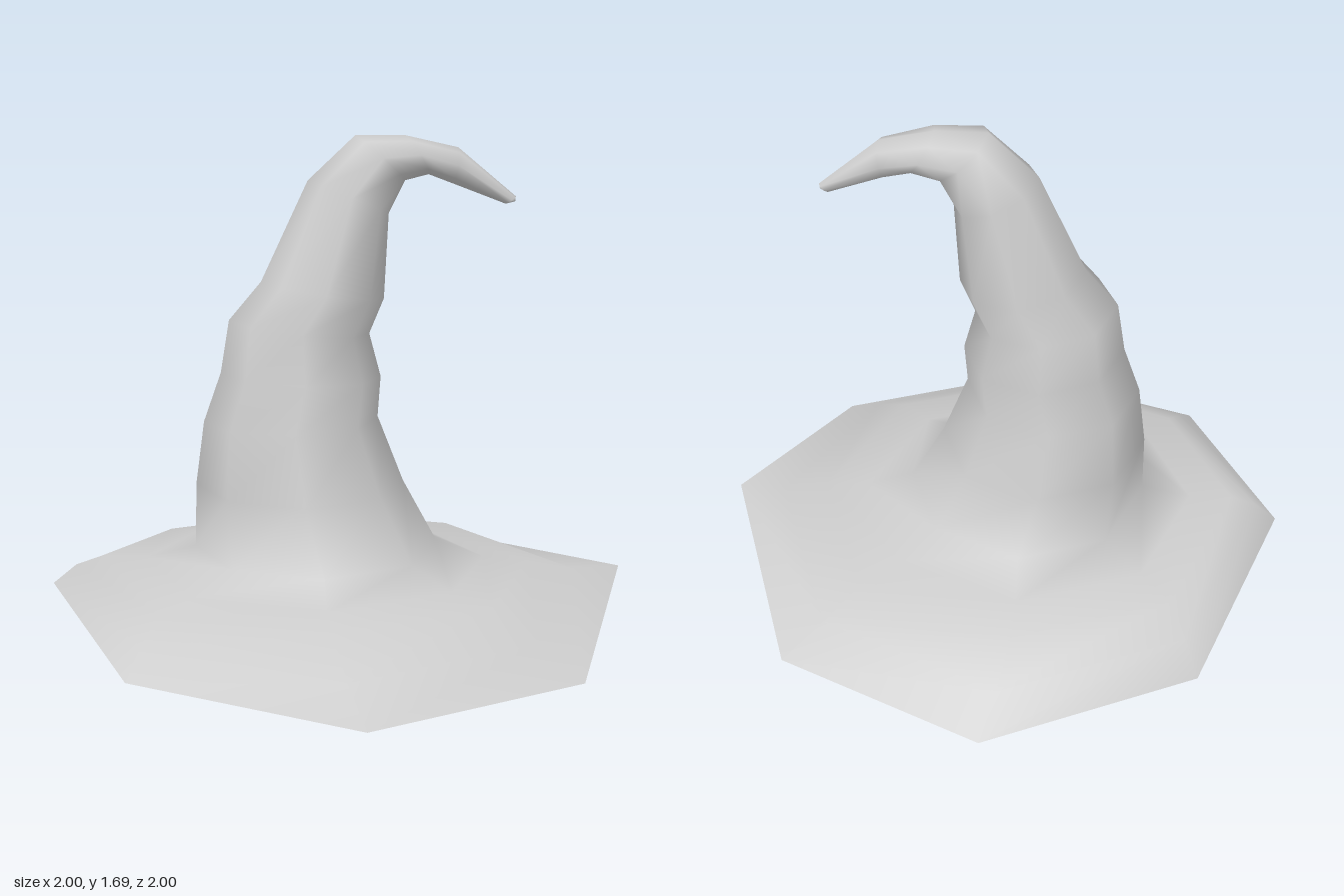
import * as THREE from 'three';

const SIDES = 8;

// Brim rings, rim inwards: left x, right x, half depth, heights starting at +x and turning towards +z
const brimRings = [
  [-1, 1, 1, [0.17, 0.015, 0.005, 0.06, 0.155, 0.06, 0.015, 0.015]],
  [-0.92, 0.83, 0.86, [0.165, 0.11, 0.1, 0.14, 0.22, 0.14, 0.105, 0.11]],
  [-0.83, 0.67, 0.71, [0.195, 0.2, 0.2, 0.2, 0.25, 0.2, 0.2, 0.2]],
  [-0.68, 0.51, 0.56, [0.215, 0.215, 0.215, 0.22, 0.24, 0.22, 0.215, 0.215]],
];

// Crown rings, base to tip: left x, left y, right x, right y, half depth
const crownRings = [
  [-0.505, 0.28, 0.34, 0.28, 0.42],
  [-0.5, 0.5, 0.22, 0.5, 0.36],
  [-0.47, 0.72, 0.13, 0.73, 0.3],
  [-0.41, 0.89, 0.14, 0.87, 0.272],
  [-0.38, 1.07, 0.1, 1.02, 0.243],
  [-0.27, 1.2, 0.15, 1.14, 0.215],
  [-0.11, 1.54, 0.165, 1.43, 0.158],
  [0.05, 1.69, 0.22, 1.54, 0.127],
  [0.22, 1.69, 0.3, 1.56, 0.108],
  [0.4, 1.65, 0.38, 1.53, 0.077],
  [0.6, 1.485, 0.565, 1.46, 0.022],
];

function createModel() {
  const positions = [];
  const addRing = (left, right, depth, heightAt) => {
    for (let i = 0; i < SIDES; i++) {
      const a = (i / SIDES) * Math.PI * 2;
      const x = (left + right) / 2 + ((right - left) / 2) * Math.cos(a);
      positions.push(x, heightAt(i, Math.cos(a)), depth * Math.sin(a));
    }
  };
  for (const [l, r, d, heights] of brimRings) addRing(l, r, d, (i) => heights[i]);
  for (const [lx, ly, rx, ry, d] of crownRings) {
    addRing(lx, rx, d, (i, c) => (ly + ry) / 2 + ((ry - ly) / 2) * c);
  }
  const tip = positions.length / 3;
  positions.push(0.598, 1.468, 0);

  // Quads between neighbouring rings
  const bands = (from, to) => {
    const index = [];
    for (let r = from; r < to; r++) {
      for (let i = 0; i < SIDES; i++) {
        const a = r * SIDES + i;
        const b = r * SIDES + ((i + 1) % SIDES);
        index.push(a, a + SIDES, b, b, a + SIDES, b + SIDES);
      }
    }
    return index;
  };
  const base = brimRings.length;
  const last = base + crownRings.length - 1;
  const brimIndex = bands(0, base);
  const crownIndex = bands(base, last);
  // Close the tip
  for (let i = 0; i < SIDES; i++) {
    crownIndex.push(last * SIDES + i, tip, last * SIDES + ((i + 1) % SIDES));
  }

  // Normals are computed over the whole hat so brim and crown shade as one surface
  const whole = new THREE.BufferGeometry();
  whole.setAttribute('position', new THREE.Float32BufferAttribute(positions, 3));
  whole.setIndex([...brimIndex, ...crownIndex]);
  whole.computeVertexNormals();

  const material = new THREE.MeshStandardMaterial({ color: 0xcccccc, side: THREE.DoubleSide });
  const hat = new THREE.Group();
  hat.name = 'pointedHat';
  for (const [name, index] of [['brim', brimIndex], ['crown', crownIndex]]) {
    const geometry = whole.clone().setIndex(index);
    const mesh = new THREE.Mesh(geometry, material);
    mesh.name = name;
    hat.add(mesh);
  }
  return hat;
}

export { createModel };
